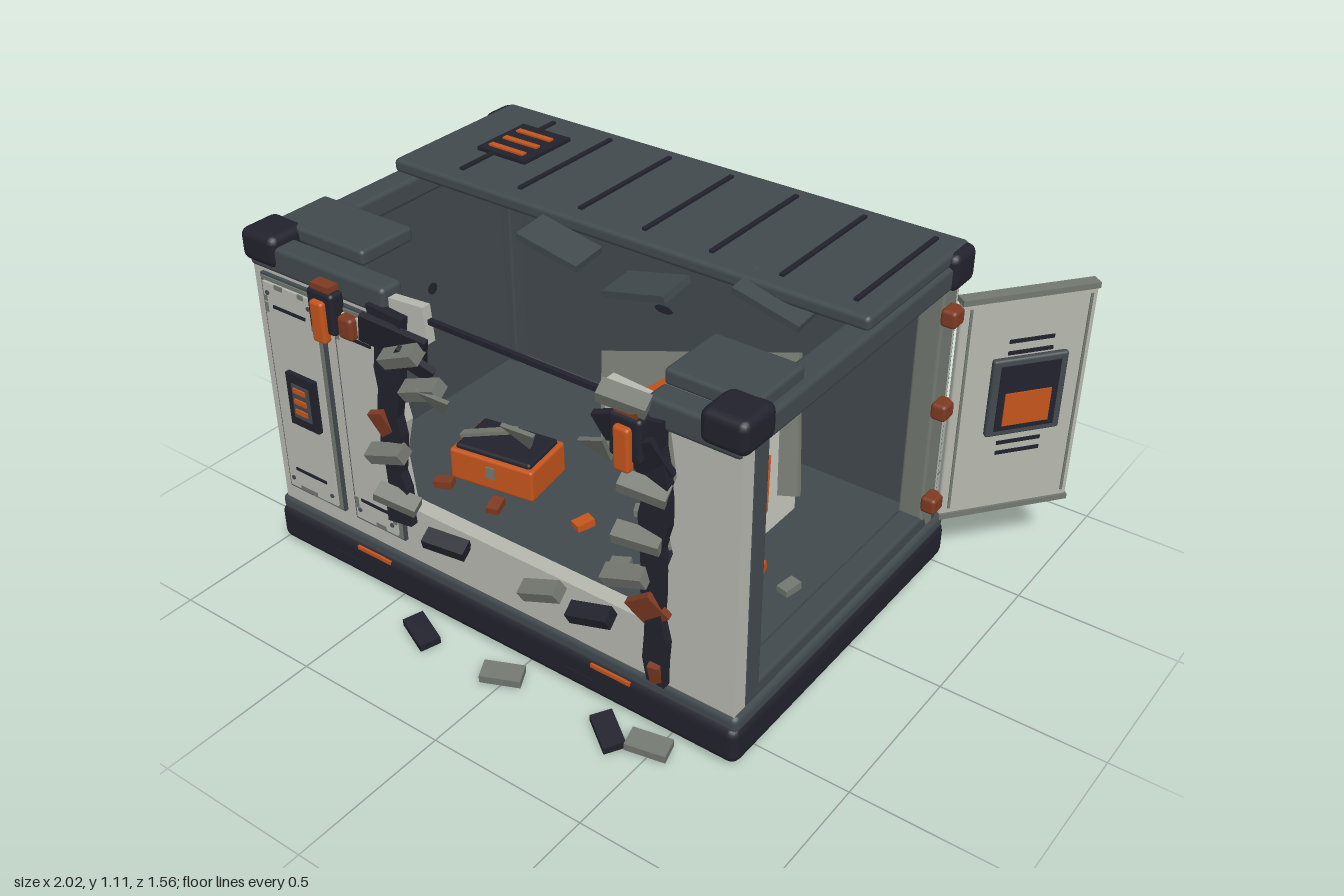
import * as THREE from 'three';
import { RoundedBoxGeometry } from 'three/addons/geometries/RoundedBoxGeometry.js';

const mat = (name, color, side = THREE.FrontSide) => {
  const m = new THREE.MeshStandardMaterial({ color, side });
  m.name = name;
  return m;
};

export function createModel() {
  const root = new THREE.Group();
  root.name = 'damagedContainer';
  const white = mat('paintedWhite', 0xb6b8af), grey = mat('wornGrey', 0x72776f);
  const charcoal = mat('charcoal', 0x41494d), dark = mat('nearBlack', 0x22222d);
  const orange = mat('orange', 0xc4541c), rust = mat('rust', 0x7d3a22);
  let seed = 7;
  const rnd = () => (seed = (seed * 16807) % 2147483647) / 2147483647;

  const add = (name, geo, m, p, r = [0, 0, 0], parent = root) => {
    const o = new THREE.Mesh(geo, m);
    o.name = name;
    o.position.set(...p);
    o.rotation.set(...r);
    parent.add(o);
    return o;
  };
  const box = (name, m, s, p, r, parent) => add(name, new THREE.BoxGeometry(...s), m, p, r, parent);
  // Box given by its limits, with an optional rounded edge
  const span = (name, m, x0, x1, y0, y1, z0, z1, rad = 0) => {
    const s = [x1 - x0, y1 - y0, z1 - z0];
    return add(name, rad ? new RoundedBoxGeometry(...s, 2, rad) : new THREE.BoxGeometry(...s), m,
      [(x0 + x1) / 2, (y0 + y1) / 2, (z0 + z1) / 2]);
  };
  const group = (name, p, r = [0, 0, 0], parent = root) => {
    const g = new THREE.Group();
    g.name = name;
    g.position.set(...p);
    g.rotation.set(...r);
    parent.add(g);
    return g;
  };
  const plate = (pts, depth) => new THREE.ExtrudeGeometry(
    new THREE.Shape(pts.map(([x, y]) => new THREE.Vector2(x, y))), { depth, bevelEnabled: false });

  // Framed wall panel facing local +z, with slots, screws and chipped paint
  const panel = (name, w, h, p, r, parent) => {
    const g = group(name, p, r, parent);
    box('panelEdge', charcoal, [w, h, 0.012], [0, 0, 0.006], undefined, g);
    box('panelBorder', grey, [w - 0.012, h - 0.012, 0.016], [0, 0, 0.008], undefined, g);
    box('panelFace', white, [w - 0.036, h - 0.036, 0.024], [0, 0, 0.012], undefined, g);
    for (const s of [-1, 1]) {
      box('slot', dark, [w * 0.55, 0.01, 0.004], [0, s * (h / 2 - 0.09), 0.025], undefined, g);
      for (const t of [-1, 1]) add('screw', new THREE.CylinderGeometry(0.007, 0.007, 0.006, 8), charcoal,
        [t * (w / 2 - 0.035), s * (h / 2 - 0.05), 0.025], [Math.PI / 2, 0, 0], g);
    }
    for (let i = 0; i < 9; i++) {
      const t = i % 2 ? 1 : -1, wide = 0.012 + rnd() * 0.03;
      if (i < 5) box('chip', grey, [wide, 0.014, 0.004], [(rnd() - 0.5) * (w - 0.1), t * (h / 2 - 0.024), 0.0235], undefined, g);
      else box('chip', grey, [0.014, wide, 0.004], [t * (w / 2 - 0.024), (rnd() - 0.5) * (h - 0.1), 0.0235], undefined, g);
    }
    return g;
  };

  // Base, sills and floor
  span('base', dark, -1, 0.72, 0.015, 0.14, -0.54, 0.62, 0.03);
  span('baseBand', charcoal, -0.995, 0.715, 0.12, 0.176, -0.53, 0.61, 0.02);
  span('floor', charcoal, -0.95, 0.68, 0.14, 0.2, -0.5, 0.56);
  span('doorSill', charcoal, 0.62, 0.7, 0.15, 0.22, -0.5, 0.54, 0.012);
  for (const x of [-0.59, 0.305]) {
    box('baseStripe', orange, [0.135, 0.012, 0.008], [x, 0.125, 0.617]);
    box('baseSlot', dark, [0.1, 0.012, 0.006], [x - 0.11, 0.07, 0.619]);
  }

  // Corner posts and top frame
  for (const x of [-0.93, 0.66]) {
    span('frontPost', charcoal, x - 0.04, x + 0.04, 0.15, 1.0, 0.48, 0.55, 0.01);
    span('backPost', x > 0 ? grey : charcoal, x - 0.04, x + 0.04, 0.15, 1.0, -0.48, -0.4, 0.01);
    span('sideTopBeam', charcoal, x - 0.045, x + 0.045, 0.985, 1.06, -0.5, 0.56, 0.015);
  }
  span('backTopBeam', charcoal, -0.98, 0.7, 0.98, 1.06, -0.53, -0.44, 0.015);
  span('frontTopBeamLeftEnd', charcoal, -0.98, -0.45, 0.985, 1.07, 0.53, 0.61, 0.015);
  span('frontTopBeamRightEnd', charcoal, 0.42, 0.7, 0.985, 1.07, 0.53, 0.61, 0.015);
  for (const x of [-0.93, 0.65]) {
    span('frontCorner', dark, x - 0.07, x + 0.07, 1.0, 1.1, 0.48, 0.62, 0.025);
    span('backCorner', dark, x - 0.07, x + 0.07, 0.98, 1.095, -0.54, -0.42, 0.025);
  }
  span('bentRod', dark, -0.46, 0.43, 0.995, 1.01, 0.563, 0.578);

  // Surviving roof, ribs and vent
  span('roof', charcoal, -0.975, 0.695, 1.055, 1.1, -0.535, 0.02, 0.015);
  for (let i = 0; i < 7; i++) span('roofRib', dark, -0.757 + i * 0.228, -0.743 + i * 0.228, 1.095, 1.108, -0.48, -0.04);
  span('roofVent', dark, -0.81, -0.62, 1.095, 1.112, -0.4, -0.18);
  for (const z of [-0.345, -0.28, -0.215]) span('roofVentBar', orange, -0.785, -0.65, 1.11, 1.118, z - 0.01, z + 0.01);
  span('roofCornerLeft', charcoal, -0.96, -0.61, 1.05, 1.098, 0.32, 0.52, 0.012);
  span('roofCornerRight', charcoal, 0.41, 0.68, 1.05, 1.098, 0.3, 0.52, 0.012);
  for (const [x, y, z, a] of [[-0.26, 1.06, 0.1, -0.2], [0.08, 1.05, 0.145, 0.25], [0.41, 1.06, 0.01, -0.25]])
    box('tornRoofSlab', charcoal, [0.215, 0.022, 0.12], [x, y, z], [0.1, 0, a]);

  // Back wall with four panels
  span('backWall', white, -0.96, 0.69, 0.16, 1.0, -0.505, -0.48);
  span('backLining', charcoal, -0.95, 0.64, 0.18, 1.0, -0.48, -0.46);
  for (let i = 0; i < 4; i++) panel('backPanel', 0.37, 0.78, [0.5 - i * 0.415, 0.585, -0.505], [0, Math.PI, 0]);
  add('scorchMark', new THREE.CylinderGeometry(0.035, 0.035, 0.006, 12), dark, [-0.3, 0.58, -0.459], [Math.PI / 2, 0, 0]).scale.z = 0.4;
  for (const x of [-0.4, -0.1, 0.2]) add('wallStud', new THREE.CylinderGeometry(0.011, 0.011, 0.008, 8), rust, [x, 0.9, -0.457], [Math.PI / 2, 0, 0]);

  // Left wall with side vent
  span('leftWall', white, -0.972, -0.945, 0.16, 1.0, -0.49, 0.56);
  span('leftLining', charcoal, -0.945, -0.925, 0.18, 1.0, -0.47, 0.55);
  add('sideScorch', new THREE.CylinderGeometry(0.02, 0.02, 0.006, 10), dark, [-0.924, 0.635, -0.05], [0, 0, Math.PI / 2]);
  const left = group('leftSide', [-0.972, 0, 0.04], [0, -Math.PI / 2, 0]);
  for (const s of [-1, 1]) panel('sidePanel', 0.28, 0.78, [s * 0.34, 0.585, 0], [0, 0, 0], left);
  box('ventBacking', grey, [0.36, 0.8, 0.01], [0, 0.585, 0.004], undefined, left);

  // Control unit used on the left side and on the door
  const unit = (w, h, p, parent) => {
    const g = group('controlUnit', p, [0, 0, 0], parent);
    add('unitFrame', new RoundedBoxGeometry(w, h, 0.022, 2, 0.008), charcoal, [0, 0, 0], undefined, g);
    box('unitScreen', dark, [w * 0.8, h * 0.84, 0.01], [0, 0, 0.009], undefined, g);
    box('unitHatch', orange, [w * 0.62, h * 0.42, 0.012], [0, -h * 0.14, 0.012], undefined, g);
    return g;
  };
  const sideUnit = unit(0.26, 0.4, [0, 0.6, 0.018], left);
  box('hatchWindow', dark, [0.1, 0.1, 0.006], [0, -0.056, 0.018], undefined, sideUnit);
  for (const y of [0.06, 0.1, 0.14]) box('unitGrille', charcoal, [0.15, 0.014, 0.006], [0, y, 0.015], undefined, sideUnit);

  // Front wall, torn open in the middle
  add('frontWall', plate([[-0.975, 0.165], [0.7, 0.165], [0.7, 1], [0.49, 1], [0.51, 0.86], [0.47, 0.75], [0.5, 0.62],
    [0.46, 0.5], [0.49, 0.36], [-0.45, 0.36], [-0.47, 0.52], [-0.44, 0.64], [-0.48, 0.8], [-0.45, 1], [-0.975, 1]], 0.05), white, [0, 0, 0.55]);
  panel('frontPanelOuter', 0.235, 0.74, [-0.82, 0.605, 0.6]);
  panel('frontPanelInner', 0.2, 0.74, [-0.555, 0.605, 0.6]);
  span('frontVent', dark, -0.857, -0.743, 0.51, 0.685, 0.61, 0.64);
  span('frontVentInset', charcoal, -0.835, -0.765, 0.54, 0.655, 0.638, 0.643);
  for (const y of [0.565, 0.6, 0.637]) span('frontVentBar', orange, -0.825, -0.777, y - 0.008, y + 0.008, 0.64, 0.648);
  for (const x of [-0.39, 0.355]) box('wallRemnant', white, [0.14, 0.11, 0.03], [x, x < 0 ? 0.99 : 1.0, 0.575], [0, 0, -x * 0.2]);

  // Charred, ragged strips along the tear
  for (const [name, x, y0] of [['charredEdgeLeft', -0.46, 0.3], ['charredEdgeRight', 0.46, 0.18]]) {
    const a = [], b = [];
    for (let i = 0; i <= 11; i++) {
      const y = y0 + (1.02 - y0) * i / 11, flare = i > 7 ? (i - 7) * 0.012 : 0;
      const out = 0.02 + rnd() * 0.025, inn = 0.02 + rnd() * 0.035 + flare, s = x < 0 ? 1 : -1;
      a.push([x - s * out, y]);
      b.unshift([x + s * inn, y + (rnd() - 0.5) * 0.03]);
    }
    add(name, plate(a.concat(b), 0.03), dark, [0, 0, 0.596]);
  }
  for (const [x, y, w, h, a, m] of [[-0.41, 0.94, 0.2, 0.1, -0.3, dark], [-0.34, 0.89, 0.12, 0.05, -0.6, dark],
    [0.36, 0.97, 0.13, 0.09, 0.3, dark], [0.44, 0.9, 0.1, 0.12, 0.4, dark], [-0.48, 0.64, 0.05, 0.1, 0.3, rust],
    [0.44, 0.43, 0.09, 0.09, 0.6, rust], [0.465, 0.22, 0.035, 0.07, 0, rust]])
    box('charredFlap', m, [w, h, 0.02], [x, y, 0.625], [0.25, 0.2, a]);
  for (const [x, y, a, m] of [[-0.3, 0.83, 0.3, grey], [-0.37, 0.91, 0.35, grey], [-0.46, 0.56, 0.25, grey], [-0.44, 0.41, -0.4, grey],
    [-0.26, 0.33, -0.2, dark], [0.09, 0.33, 0.3, grey], [0.26, 0.33, 0.15, dark], [0.44, 0.82, -0.3, grey],
    [0.38, 0.52, 0.25, grey], [0.42, 0.66, -0.15, grey], [0.38, 1.06, -0.3, grey]])
    box('bentTab', m, [0.13, 0.04, 0.05], [x, y, 0.64], [0.4, 0.2, a]);
  for (const [x, y, a] of [[-0.24, 0.82, 0], [0.06, 0.83, 0.1], [0.31, 0.9, 0.5]])
    add('shard', plate([[-0.06, 0.03], [0, -0.05], [0.06, 0.035]], 0.012), grey, [x, y, 0.645], [0.5, 0, a]);

  // Front clamps
  for (const [x, y] of [[-0.655, 0.955], [0.39, 0.955]]) {
    add('clampHead', new RoundedBoxGeometry(0.1, 0.13, 0.05, 2, 0.012), dark, [x, y, 0.63]);
    add('clampLever', new RoundedBoxGeometry(0.05, 0.13, 0.03, 2, 0.01), orange, [x, y - 0.025, 0.657]);
    box('clampTop', rust, [0.07, 0.025, 0.04], [x, y + 0.07, 0.628]);
  }
  add('clampButton', new RoundedBoxGeometry(0.055, 0.07, 0.04, 2, 0.012), rust, [-0.575, 0.925, 0.628]);

  // Open door on three hinges
  const door = group('door', [0.73, 0, -0.44], [0, Math.atan2(0.33, 0.26), 0]);
  add('doorLeaf', new RoundedBoxGeometry(0.42, 0.74, 0.025, 2, 0.008), white, [0.21, 0.593, 0], undefined, door);
  for (const y of [0.228, 0.958]) box('doorRail', grey, [0.42, 0.018, 0.04], [0.21, y, 0], undefined, door);
  for (const x of [0.03, 0.4]) box('doorSeam', grey, [0.008, 0.68, 0.006], [x, 0.593, 0.0125], undefined, door);
  unit(0.235, 0.26, [0.23, 0.63, 0.02], door);
  for (const y of [0.81, 0.772, 0.465, 0.43]) box('doorSlot', dark, [0.14, 0.012, 0.006], [0.23, y, 0.013], undefined, door);
  for (const y of [0.28, 0.61, 0.917]) add('hinge', new RoundedBoxGeometry(0.05, 0.055, 0.065, 2, 0.012), rust, [0.72, y, -0.42]);

  // Cargo crates
  for (const [x, z, a, t] of [[-0.465, 0.14, 0.15, 0], [0.32, 0.225, 0.5, 0.08]]) {
    const g = group('crate', [x, 0.26, z], [t, a, 0]);
    add('crateBody', new RoundedBoxGeometry(0.3, 0.11, 0.2, 2, 0.01), orange, [0, 0, 0], undefined, g);
    add('crateLid', new RoundedBoxGeometry(0.27, 0.03, 0.17, 2, 0.01), dark, [0, 0.055, 0], undefined, g);
    box('crateLatch', grey, [0.03, 0.04, 0.008], [0, 0.01, 0.101], undefined, g);
    box('crateStrip', grey, [0.2, 0.012, 0.03], [-0.05, 0.1, 0.02], [0, 0.1, 0.3], g);
  }

  // Loose wall panels leaning inside
  const back = group('leaningBackPanel', [-0.01, 0.38, -0.24], [-0.45, 0, 0.3]);
  box('loosePanel', grey, [0.71, 0.43, 0.022], [0, 0, 0], undefined, back);
  box('panelMark', orange, [0.14, 0.16, 0.006], [-0.14, 0.03, 0.012], [0, 0, 0.45], back);
  const tilt = group('leaningSidePanel', [0.29, 0.36, -0.08], [0, 0, 0.3]);
  const side = group('turnedPanel', [0, 0, 0], [-0.48, 0, 0], tilt);
  box('loosePanel', white, [0.022, 0.36, 0.45], [0, 0, 0], undefined, side);
  box('panelMark', orange, [0.006, 0.17, 0.1], [0.012, 0, -0.03], undefined, side);
  add('looseShard', plate([[-0.08, 0], [0.08, 0], [0.02, 0.22]], 0.015), grey, [0.2, 0.22, 0.18], [0.1, 1.2, 0]);

  // Scraps on the floor and on the ground in front
  for (const [x, z, m] of [[-0.11, 0.21, orange], [-0.38, 0.3, rust], [-0.59, 0.3, rust], [0.42, 0.08, orange], [0.1, 0.3, grey], [0.55, 0.1, grey], [0, 0.05, grey]])
    box('floorScrap', m, [0.06, 0.025, 0.04], [x, 0.212, z], [0, rnd() * 2, 0.1]);
  for (const [x, z, a, m] of [[-0.32, 0.71, -0.4, dark], [-0.01, 0.71, 0.45, grey], [0.37, 0.715, -0.6, dark], [0.49, 0.69, 0.25, grey]])
    box('groundScrap', m, [0.12, 0.025, 0.065], [x, 0.027, z], [0.1, a, -0.08]);
  return root;
}
